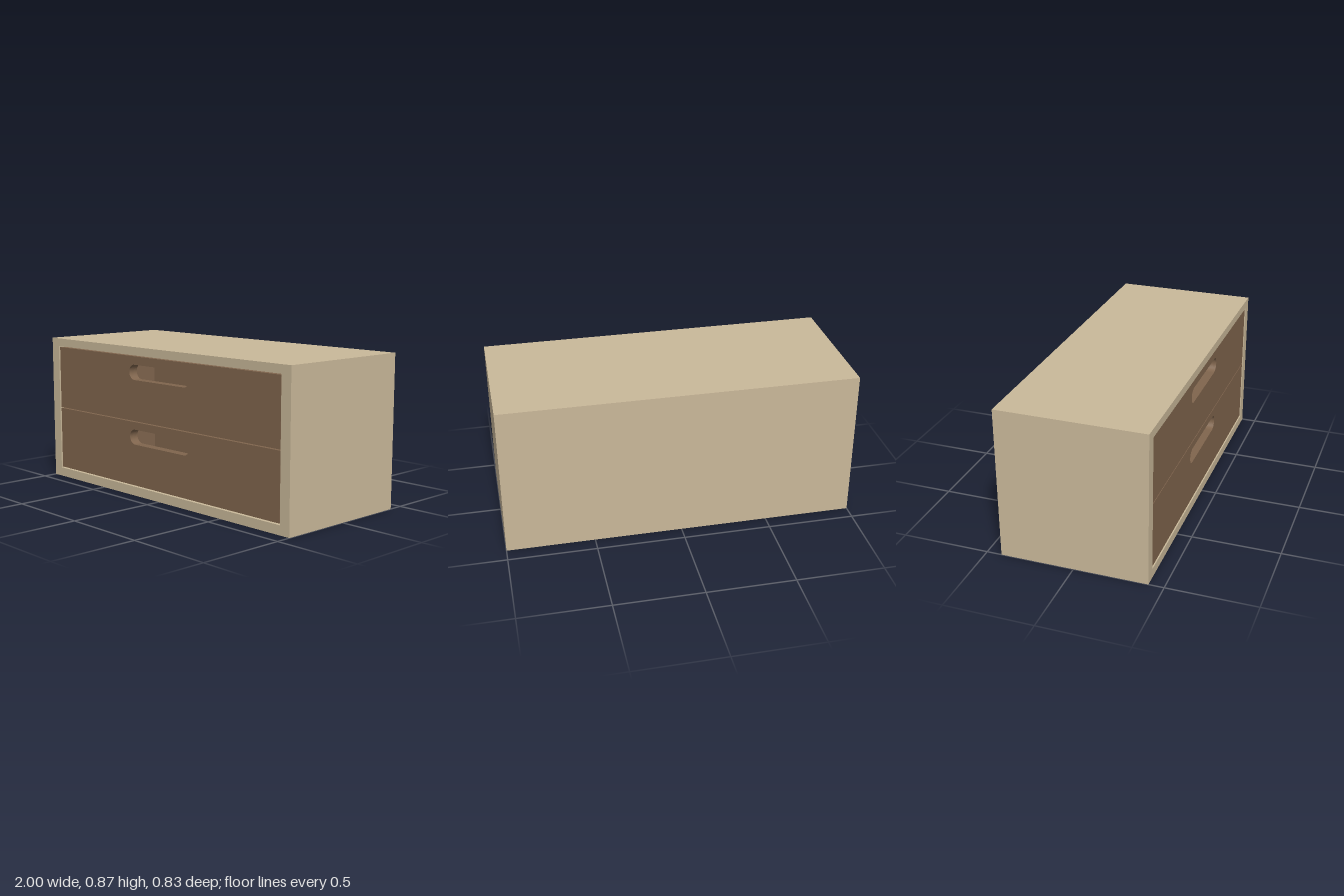
import * as THREE from 'three';

const W = 2, H = 0.867, D = 0.83;
const OPEN = { x: 0.935, y0: 0.053, y1: 0.819 }; // cabinet opening
const BACK = 0.05, FRONT_T = 0.055, RECESS = 0.005;

const paleWood = new THREE.MeshStandardMaterial({ color: 0xc9b899 });
paleWood.name = 'paleWood';
const darkWood = new THREE.MeshStandardMaterial({ color: 0x80654d });
darkWood.name = 'darkWood';

function rectangle(Type, x, y0, y1) {
  const r = new Type();
  r.moveTo(-x, y0);
  r.lineTo(x, y0);
  r.lineTo(x, y1);
  r.lineTo(-x, y1);
  r.closePath();
  return r;
}

// Rounded-end grip slot
function slotPath(halfLength, radius, y) {
  const p = new THREE.Path();
  const c = halfLength - radius;
  p.moveTo(-c, y - radius);
  p.lineTo(c, y - radius);
  p.absarc(c, y, radius, -Math.PI / 2, Math.PI / 2, false);
  p.lineTo(-c, y + radius);
  p.absarc(-c, y, radius, Math.PI / 2, Math.PI * 1.5, false);
  return p;
}

function extrude(name, shape, depth, z, material) {
  const geometry = new THREE.ExtrudeGeometry(shape, { depth, bevelEnabled: false, curveSegments: 12 });
  const mesh = new THREE.Mesh(geometry, material);
  mesh.name = name;
  mesh.position.z = z;
  return mesh;
}

function box(name, w, h, d, x, y, z, material) {
  const mesh = new THREE.Mesh(new THREE.BoxGeometry(w, h, d), material);
  mesh.name = name;
  mesh.position.set(x, y, z);
  return mesh;
}

// Drawer: slotted front, two sides and a back
function makeDrawer(name, y0, y1, slotY) {
  const drawer = new THREE.Group();
  drawer.name = name;
  const halfW = 0.929, wall = 0.03;
  const frontZ = D / 2 - RECESS - FRONT_T;
  const backZ = -D / 2 + BACK + 0.01;

  const face = rectangle(THREE.Shape, halfW, y0, y1);
  face.holes.push(slotPath(0.254, 0.044, slotY));
  drawer.add(extrude('drawerFront', face, FRONT_T, frontZ, darkWood));

  const h = y1 - y0, y = (y0 + y1) / 2, len = frontZ - backZ;
  for (const side of [-1, 1]) {
    drawer.add(box(side < 0 ? 'drawerRightSide' : 'drawerLeftSide', wall, h, len,
      side * (halfW - wall / 2), y, backZ + len / 2, darkWood));
  }
  drawer.add(box('drawerBack', 2 * (halfW - wall), h, wall, 0, y, backZ + wall / 2, darkWood));
  return drawer;
}

export function createModel() {
  const model = new THREE.Group();
  model.name = 'drawerCabinet';

  // Cabinet shell, open at the front
  const shell = rectangle(THREE.Shape, W / 2, 0, H);
  shell.holes.push(rectangle(THREE.Path, OPEN.x, OPEN.y0, OPEN.y1));
  model.add(extrude('cabinetShell', shell, D - BACK, -D / 2 + BACK, paleWood));
  model.add(box('cabinetBack', W, H, BACK, 0, H / 2, -D / 2 + BACK / 2, paleWood));

  // Two stacked drawers with a narrow gap between them
  model.add(makeDrawer('lowerDrawer', 0.059, 0.433, 0.345));
  model.add(makeDrawer('upperDrawer', 0.439, 0.813, 0.721));
  return model;
}
